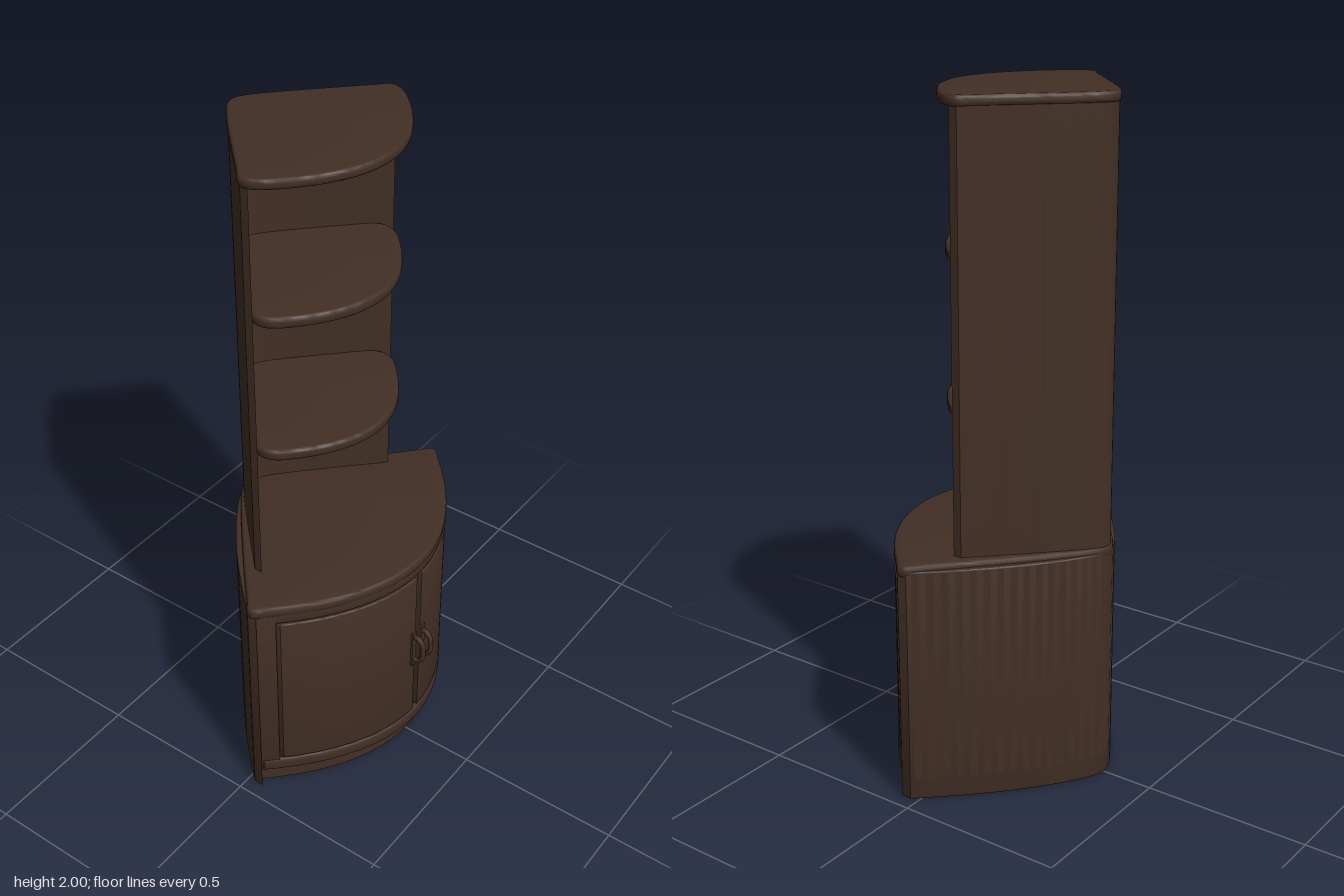
import * as THREE from 'three';
import { toCreasedNormals } from 'three/addons/utils/BufferGeometryUtils.js';

const darkWood = new THREE.MeshStandardMaterial({ color: 0x422f25 });
darkWood.name = 'darkWood';

// Plan curves giving z for each x: a rounded V at the back, a bow at the front
const backCurve = (zb, a, b) => x => zb + a * (Math.sqrt(x * x + 0.0016) - 0.04) + b * x * x;
const frontCurve = (zf, k) => x => zf - k * x * x;

const sample = (f, x0, x1, n = 32) =>
  Array.from({ length: n + 1 }, (_, i) => {
    const x = x0 + (x1 - x0) * i / n;
    return new THREE.Vector2(x, -f(x));
  });

// Raise a plan shape from y0 to y1, with softened edges
function raise(name, shape, y0, y1, bevel) {
  const geo = new THREE.ExtrudeGeometry(shape, {
    depth: y1 - y0 - 2 * bevel, curveSegments: 8, bevelEnabled: bevel > 0,
    bevelSize: bevel, bevelThickness: bevel, bevelOffset: -bevel, bevelSegments: 3,
  });
  geo.rotateX(-Math.PI / 2).translate(0, y0 + bevel, 0);
  const mesh = new THREE.Mesh(toCreasedNormals(geo, 0.6), darkWood);
  mesh.name = name;
  return mesh;
}

// Corner-shaped board: V back, bowed front, rounded side tips
function board(name, back, front, xt, tipX, tipZ, y0, y1, bevel = 0) {
  const s = new THREE.Shape(sample(back, -xt, xt));
  s.quadraticCurveTo(tipX, -tipZ, xt, -front(xt));
  sample(front, xt, -xt).slice(1).forEach(p => s.lineTo(p.x, p.y));
  s.quadraticCurveTo(-tipX, -tipZ, -xt, -back(-xt));
  return raise(name, s, y0, y1, bevel);
}

// Curved panel following a plan curve, dz thick
function panel(name, f, x0, x1, dz, y0, y1, bevel = 0) {
  const inner = sample(x => f(x) + dz, x0, x1).reverse();
  return raise(name, new THREE.Shape([...sample(f, x0, x1), ...inner]), y0, y1, bevel);
}

export function createModel() {
  const model = new THREE.Group();
  model.name = 'cornerCabinet';

  // Lower cupboard
  const base = new THREE.Group();
  base.name = 'baseCupboard';
  const baseBack = backCurve(-0.343, 0.55, 0.65);
  const bow = z => frontCurve(z, 1.2);
  base.add(
    board('carcass', baseBack, bow(0.285), 0.44, 0.468, 0.03, 0.07, 0.71),
    panel('backWall', baseBack, -0.457, 0.457, 0.03, 0.005, 0.715, 0.004),
    panel('kickPlate', bow(0.272), -0.445, 0.445, -0.02, 0.012, 0.075),
    panel('topRail', bow(0.297), -0.45, 0.45, -0.025, 0.672, 0.708, 0.004),
    panel('bottomRail', bow(0.302), -0.45, 0.45, -0.025, 0.07, 0.112, 0.008),
    board('baseTop', backCurve(-0.345, 0.83, 0.1), bow(0.301), 0.44, 0.49, 0.038, 0.698, 0.732, 0.011),
  );

  // Doors, posts and handles, mirrored
  for (const s of [-1, 1]) {
    const span = (a, b) => (s > 0 ? [a, b] : [-b, -a]);
    base.add(
      panel('door', bow(0.3), ...span(0.012, 0.408), -0.02, 0.117, 0.667, 0.004),
      panel('frontPost', bow(0.297), ...span(0.415, 0.455), -0.022, 0.07, 0.705, 0.003),
    );
    const path = new THREE.CatmullRomCurve3([
      [0.285, 0.35], [0.318, 0.345], [0.334, 0.365], [0.336, 0.39],
      [0.334, 0.415], [0.318, 0.435], [0.285, 0.43],
    ].map(([z, y]) => new THREE.Vector3(s * 0.02, y, z)));
    const handle = new THREE.Mesh(new THREE.TubeGeometry(path, 28, 0.008, 8), darkWood);
    handle.name = 'handle';
    base.add(handle);
    const plate = new THREE.Mesh(new THREE.BoxGeometry(0.02, 0.13, 0.008), darkWood);
    plate.name = 'handlePlate';
    plate.position.set(s * 0.022, 0.39, 0.301);
    base.add(plate);
  }
  model.add(base);

  // Open shelving above
  const upper = new THREE.Group();
  upper.name = 'upperShelving';
  const upperBack = backCurve(-0.34, 1, 0);
  upper.add(panel('upperBackWall', upperBack, -0.317, 0.317, 0.025, 0.725, 1.98));
  for (const y of [1.126, 1.556]) {
    upper.add(board('shelf', backCurve(-0.325, 1, 0), frontCurve(0.15, 1.9),
      0.27, 0.314, -0.04, y, y + 0.034, 0.01));
  }
  upper.add(board('upperTop', backCurve(-0.345, 1, 0), frontCurve(0.169, 1.8),
    0.3, 0.35, -0.055, 1.97, 2, 0.009));
  model.add(upper);

  return model;
}
